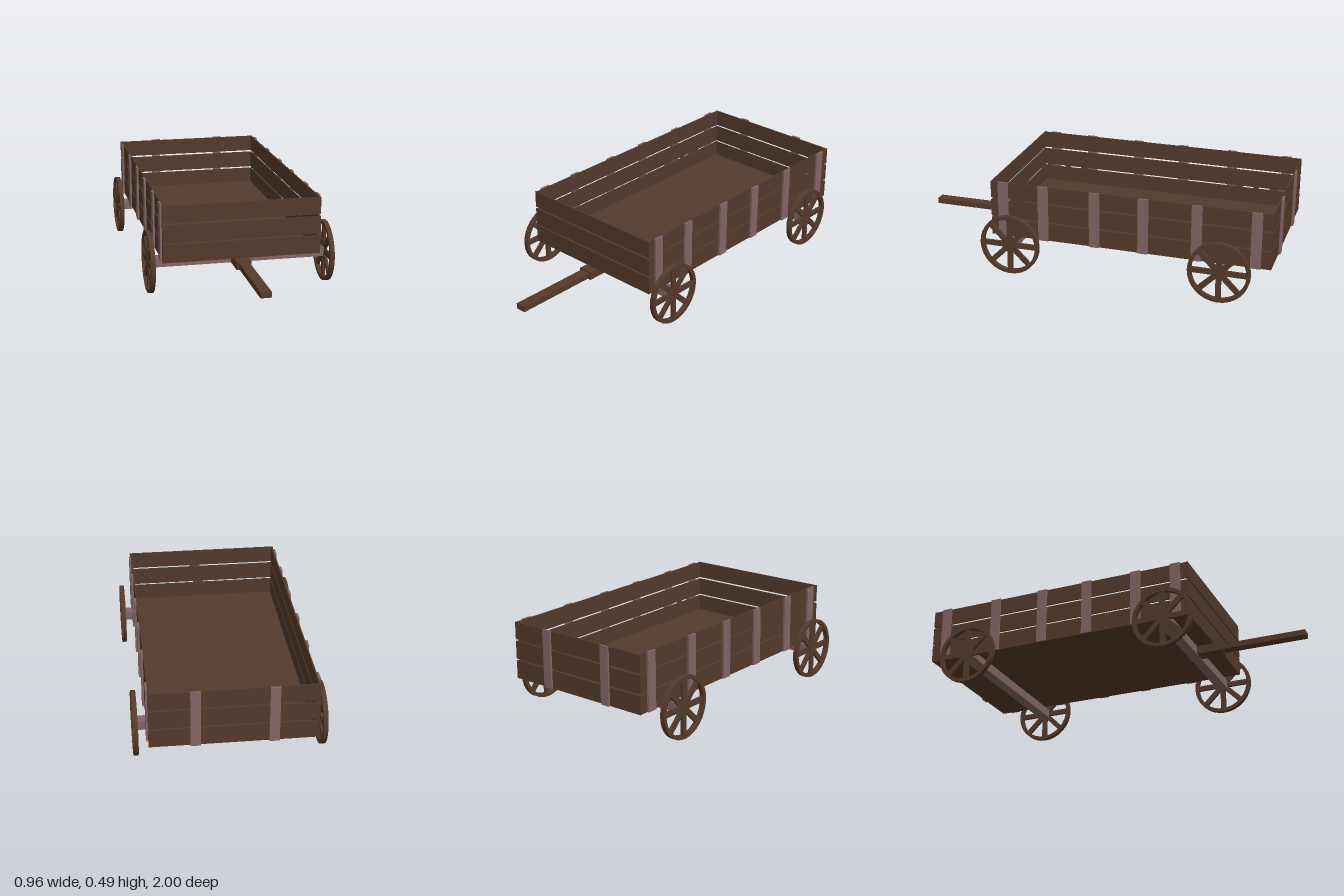
import * as THREE from 'three';

const wood = new THREE.MeshStandardMaterial({ color: 0x543a2c });
wood.name = 'brown wood';
const trim = new THREE.MeshStandardMaterial({ color: 0x846566 });
trim.name = 'mauve wood';

// Box given by its min and max corners
function box(parent, name, mat, [x0, y0, z0], [x1, y1, z1]) {
  const mesh = new THREE.Mesh(new THREE.BoxGeometry(x1 - x0, y1 - y0, z1 - z0), mat);
  mesh.position.set((x0 + x1) / 2, (y0 + y1) / 2, (z0 + z1) / 2);
  mesh.name = name;
  parent.add(mesh);
  return mesh;
}

const WHEEL_R = 0.162, RIM_IN = 0.143, WHEEL_W = 0.024;

// Spoked wheel, its axis along x
function createWheel() {
  const wheel = new THREE.Group();
  const h = WHEEL_W / 2;
  const profile = [[RIM_IN, -h], [WHEEL_R, -h], [WHEEL_R, -h], [WHEEL_R, h],
    [WHEEL_R, h], [RIM_IN, h], [RIM_IN, h], [RIM_IN, -h]];
  // Each side of the rim is its own strip so its edges stay sharp
  for (let i = 0; i < profile.length; i += 2) {
    const pts = [profile[i], profile[i + 1]].map(([r, y]) => new THREE.Vector2(r, y));
    const side = new THREE.Mesh(new THREE.LatheGeometry(pts, 32), wood);
    side.rotation.z = Math.PI / 2;
    side.name = 'rim';
    wheel.add(side);
  }
  // Eight spokes
  for (let i = 0; i < 8; i++) {
    const arm = new THREE.Group();
    box(arm, 'spoke', wood, [-0.007, 0.015, -0.014], [0.007, RIM_IN + 0.006, 0.014]);
    arm.rotation.x = i * Math.PI / 4;
    wheel.add(arm);
  }
  const hub = new THREE.Mesh(new THREE.CylinderGeometry(0.034, 0.034, 0.018, 24), wood);
  hub.rotation.z = Math.PI / 2;
  hub.name = 'hub';
  wheel.add(hub);
  return wheel;
}

export function createModel() {
  const wagon = new THREE.Group();
  wagon.name = 'wagon';

  const X = 0.412, FRONT = 0.505, BACK = -0.99, T = 0.007;

  // Bed
  box(wagon, 'floor', wood, [-X + 0.003, 0.185, BACK + 0.003], [X - 0.003, 0.195, FRONT - 0.003]);

  // Three rows of planks on all four walls
  for (const [y0, y1] of [[0.186, 0.281], [0.29, 0.384], [0.394, 0.485]]) {
    box(wagon, 'frontPlank', wood, [-X - 0.002, y0, FRONT - T], [X, y1, FRONT]);
    box(wagon, 'backPlank', wood, [-X - 0.002, y0, BACK], [X, y1, BACK + T]);
    for (const s of [-1, 1]) {
      const x = s * (X - 0.003 - T / 2);
      box(wagon, 'sidePlank', wood, [x - T / 2, y0, BACK + T], [x + T / 2, y1, FRONT - T]);
    }
  }

  // Upright battens outside the side walls and the tail
  for (const z of [0.436, 0.215, -0.064, -0.325, -0.605, -0.91]) {
    for (const s of [-1, 1]) {
      const x = s * 0.414;
      box(wagon, 'sideBatten', trim, [x - 0.005, 0.185, z - 0.027], [x + 0.005, 0.487, z + 0.027]);
    }
  }
  for (const x of [-0.195, 0.186]) {
    box(wagon, 'backBatten', trim, [x - 0.025, 0.185, -1], [x + 0.025, 0.488, BACK]);
  }

  // Axles and wheels
  for (const z of [0.384, -0.737]) {
    box(wagon, 'axle', trim, [-0.46, 0.136, z - 0.028], [0.46, 0.185, z + 0.028]);
    for (const s of [-1, 1]) {
      const wheel = createWheel();
      wheel.name = (z > 0 ? 'front' : 'rear') + (s > 0 ? 'LeftWheel' : 'RightWheel');
      wheel.position.set(s * 0.467, WHEEL_R, z);
      wagon.add(wheel);
    }
  }

  // Pull tongue and its socket
  box(wagon, 'tongueSocket', wood, [-0.041, 0.138, 0.4], [0.036, 0.181, 0.549]);
  box(wagon, 'tongue', wood, [-0.03, 0.145, 0.5], [0.025, 0.175, 1]);

  return wagon;
}
